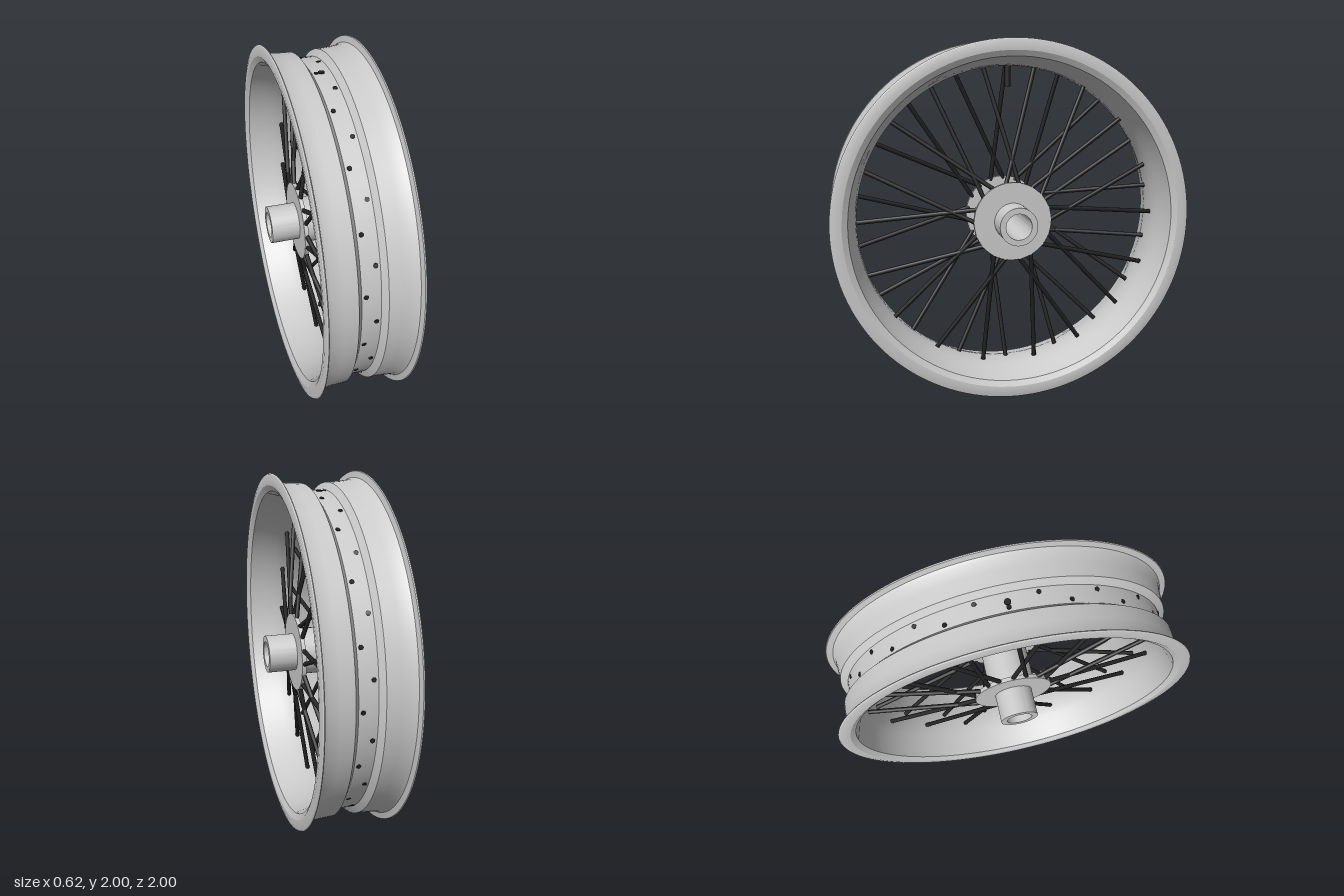
import * as THREE from 'three';
import { toCreasedNormals } from 'three/addons/utils/BufferGeometryUtils.js';

const grey = new THREE.MeshStandardMaterial({ color: 0xcccccc });
const black = new THREE.MeshStandardMaterial({ color: 0x222222 });

// Solid of revolution about the x axis; profile is a closed loop of [x, radius]
function turned(name, profile, segments) {
  const pts = [...profile, profile[0]].map(([x, r]) => new THREE.Vector2(r, x));
  const geo = new THREE.LatheGeometry(pts, segments).rotateZ(-Math.PI / 2);
  const mesh = new THREE.Mesh(toCreasedNormals(geo, 0.4), grey);
  mesh.name = name;
  return mesh;
}

// Round rod between two points
function rod(name, a, b, radius, sides = 12) {
  const dir = b.clone().sub(a);
  const mesh = new THREE.Mesh(new THREE.CylinderGeometry(radius, radius, dir.length(), sides), black);
  mesh.position.copy(a).add(b).multiplyScalar(0.5);
  mesh.quaternion.setFromUnitVectors(new THREE.Vector3(0, 1, 0), dir.normalize());
  mesh.name = name;
  return mesh;
}

// Point at radius r and angle (degrees, seen from +x, 0 at the back, 90 at the top)
function polar(x, r, deg) {
  const a = THREE.MathUtils.degToRad(deg);
  return new THREE.Vector3(x, r * Math.sin(a), -r * Math.cos(a));
}

export function createModel() {
  const model = new THREE.Group();
  model.name = 'spokedWheel';
  const wheel = new THREE.Group();
  wheel.name = 'wheel';
  wheel.position.y = 1;
  model.add(wheel);

  // Rim: drop-centre channel outside, smooth cone inside
  const outerHalf = [
    [0.05, 0.905], [0.075, 0.943], [0.15, 0.947], [0.21, 0.953],
    [0.229, 0.962], [0.234, 0.98], [0.237, 0.997], [0.242, 1.0], [0.247, 0.995],
  ];
  const innerHalf = [
    [0.254, 0.965], [0.252, 0.936], [0.235, 0.905], [0.19, 0.893],
    [0.14, 0.879], [0.09, 0.865], [0.05, 0.857], [0, 0.855],
  ];
  const flip = (pts) => pts.map(([x, r]) => [-x, r]).reverse();
  wheel.add(turned('rim', [
    ...flip(outerHalf), ...outerHalf, ...innerHalf, ...flip(innerHalf).slice(1),
  ], 128));

  // Hub: bored tube with a thicker barrel and two flanges
  const hubHalf = [
    [0.13, 0.13], [0.13, 0.22], [0.153, 0.22], [0.153, 0.105], [0.31, 0.105], [0.31, 0.072],
  ];
  wheel.add(turned('hub', [...flip(hubHalf), ...hubHalf], 64));

  // Spokes: alternate sides, laced in crossing pairs on each flange
  const spokes = new THREE.Group();
  spokes.name = 'spokes';
  for (let i = 0; i < 36; i++) {
    const side = i % 2 === 0 ? 1 : -1;
    const lean = i % 4 < 2 ? 21 : -21;
    const rimEnd = polar(side * 0.026, 0.908, i * 10);
    const hubEnd = polar(side * 0.14, 0.205, i * 10 + lean);
    spokes.add(rod('spoke', hubEnd, rimEnd, 0.0125));
  }
  wheel.add(spokes);

  // Valve stem at the top
  wheel.add(rod('valveStem', polar(0, 0.74, 90), polar(0, 0.91, 90), 0.017, 16));

  return model;
}
